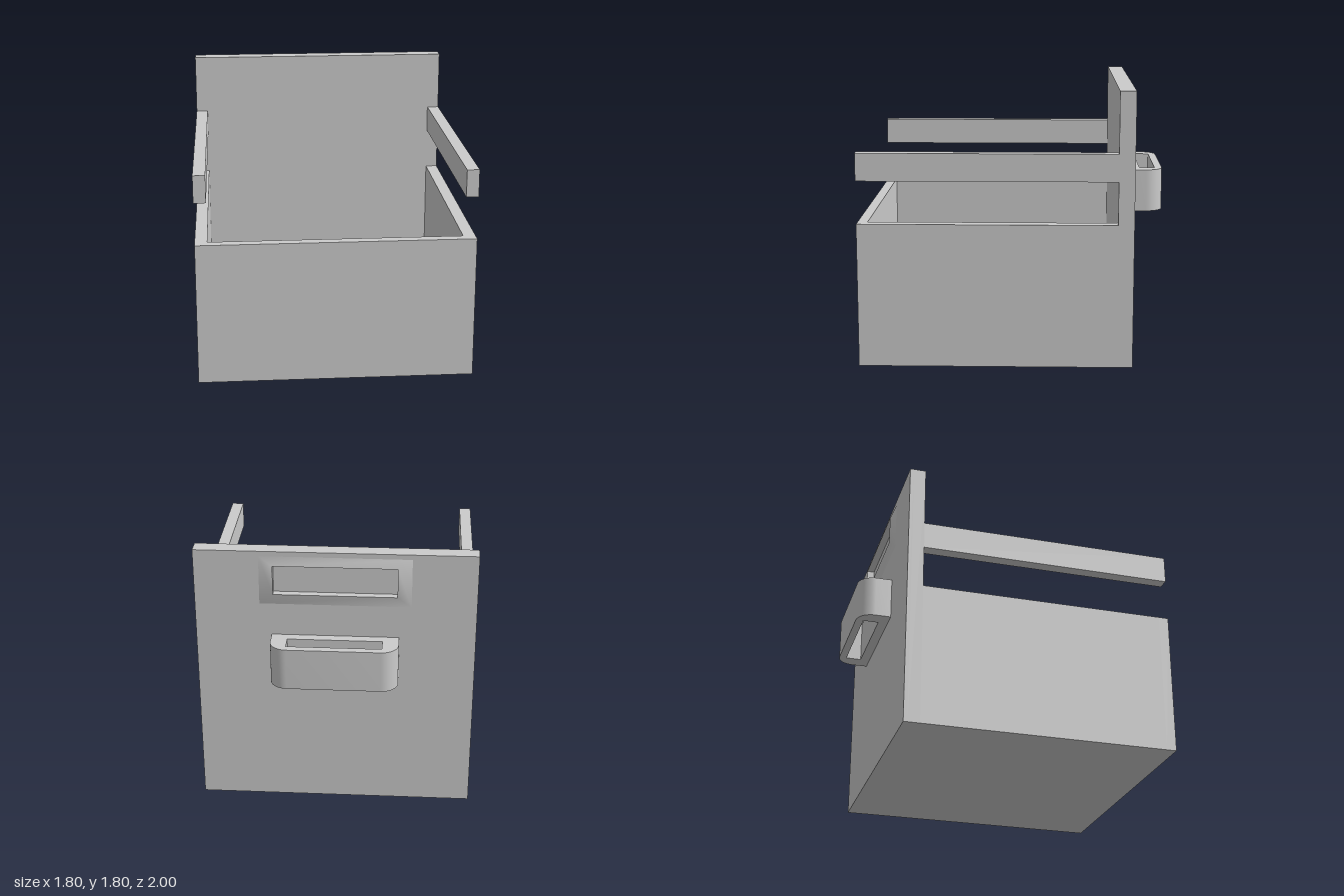
import * as THREE from 'three';
import { toCreasedNormals } from 'three/addons/utils/BufferGeometryUtils.js';

const material = new THREE.MeshStandardMaterial({ color: 0xcccccc });

function add(parent, name, geometry) {
  const mesh = new THREE.Mesh(geometry, material);
  mesh.name = name;
  parent.add(mesh);
  return mesh;
}

// Box given by its min and max on each axis
function block(parent, name, [x0, x1], [y0, y1], [z0, z1]) {
  const mesh = add(parent, name, new THREE.BoxGeometry(x1 - x0, y1 - y0, z1 - z0));
  mesh.position.set((x0 + x1) / 2, (y0 + y1) / 2, (z0 + z1) / 2);
}

// Corners of a rectangle, counter-clockwise
const rect = (x0, x1, y0, y1) =>
  [[x0, y0], [x1, y0], [x1, y1], [x0, y1]].map(([x, y]) => new THREE.Vector2(x, y));

function withHole(shape, hole) {
  shape.holes.push(new THREE.Path(hole.slice().reverse()));
  return shape;
}

const W = 0.9, IN = 0.82;             // outer and inner half width
const BACK = -0.785, PANEL = -0.68;   // back panel faces
const RIM = 0.945, TOP = 1.805;       // box rim and panel top
const POCKET = -0.76;                 // bottom of the grip recess

export function createModel() {
  const model = new THREE.Group();
  model.name = 'boxSeat';

  // Open box
  const box = new THREE.Group();
  box.name = 'box';
  model.add(box);
  block(box, 'floor', [-IN, IN], [0, 0.11], [PANEL, 0.935]);
  block(box, 'frontWall', [-W, W], [0, RIM], [0.935, 1]);

  // Side walls and arm rails
  for (const [side, s] of [['left', 1], ['right', -1]]) {
    const xs = [s * IN, s * W].sort((a, b) => a - b);
    block(box, side + 'Wall', xs, [0, RIM], [PANEL, 0.935]);
    block(model, side + 'ArmRail', xs, [1.225, 1.405], [PANEL, 1]);
  }

  // Back panel: solid front layer, rear layer cut out for the grip recess
  const slot = rect(-0.395, 0.395, 1.52, 1.715);
  block(model, 'backPanel', [-W, W], [0, TOP], [POCKET, PANEL]);
  const rear = add(model, 'backPanelRear', new THREE.ExtrudeGeometry(
    withHole(new THREE.Shape(rect(-W, W, 0, TOP)), slot),
    { depth: POCKET - BACK, bevelEnabled: false }));
  rear.position.z = BACK;

  // Sloped surround of the recess: rings from panel to lip to inside
  const rings = [
    [rect(-0.485, 0.485, 1.443, 1.772), BACK],
    [slot, -0.81],
    [slot, BACK],
  ];
  const positions = [], indices = [];
  for (const [corners, z] of rings) for (const c of corners) positions.push(c.x, c.y, z);
  for (let r = 0; r < 2; r++) {
    for (let i = 0; i < 4; i++) {
      const a = r * 4 + i, b = r * 4 + (i + 1) % 4;
      indices.push(a, a + 4, b, b, a + 4, b + 4);
    }
  }
  const surround = new THREE.BufferGeometry();
  surround.setAttribute('position', new THREE.Float32BufferAttribute(positions, 3));
  surround.setIndex(indices);
  add(model, 'gripSurround', toCreasedNormals(surround, 0.7));

  // Rounded carrying loop with a slot through it from top to bottom
  const h = 0.41, r = 0.11, z0 = -BACK, z1 = 1;
  const outline = new THREE.Shape();
  outline.moveTo(-h, z0);
  outline.lineTo(h, z0);
  outline.lineTo(h, z1 - r);
  outline.absarc(h - r, z1 - r, r, 0, Math.PI / 2);
  outline.absarc(-h + r, z1 - r, r, Math.PI / 2, Math.PI);
  outline.closePath();
  const loop = new THREE.ExtrudeGeometry(
    withHole(outline, rect(-0.305, 0.305, 0.848, 0.95)),
    { depth: 0.28, bevelEnabled: false, curveSegments: 6 });
  loop.rotateX(-Math.PI / 2);
  add(model, 'carryLoop', toCreasedNormals(loop, 0.6)).position.y = RIM;

  return model;
}
